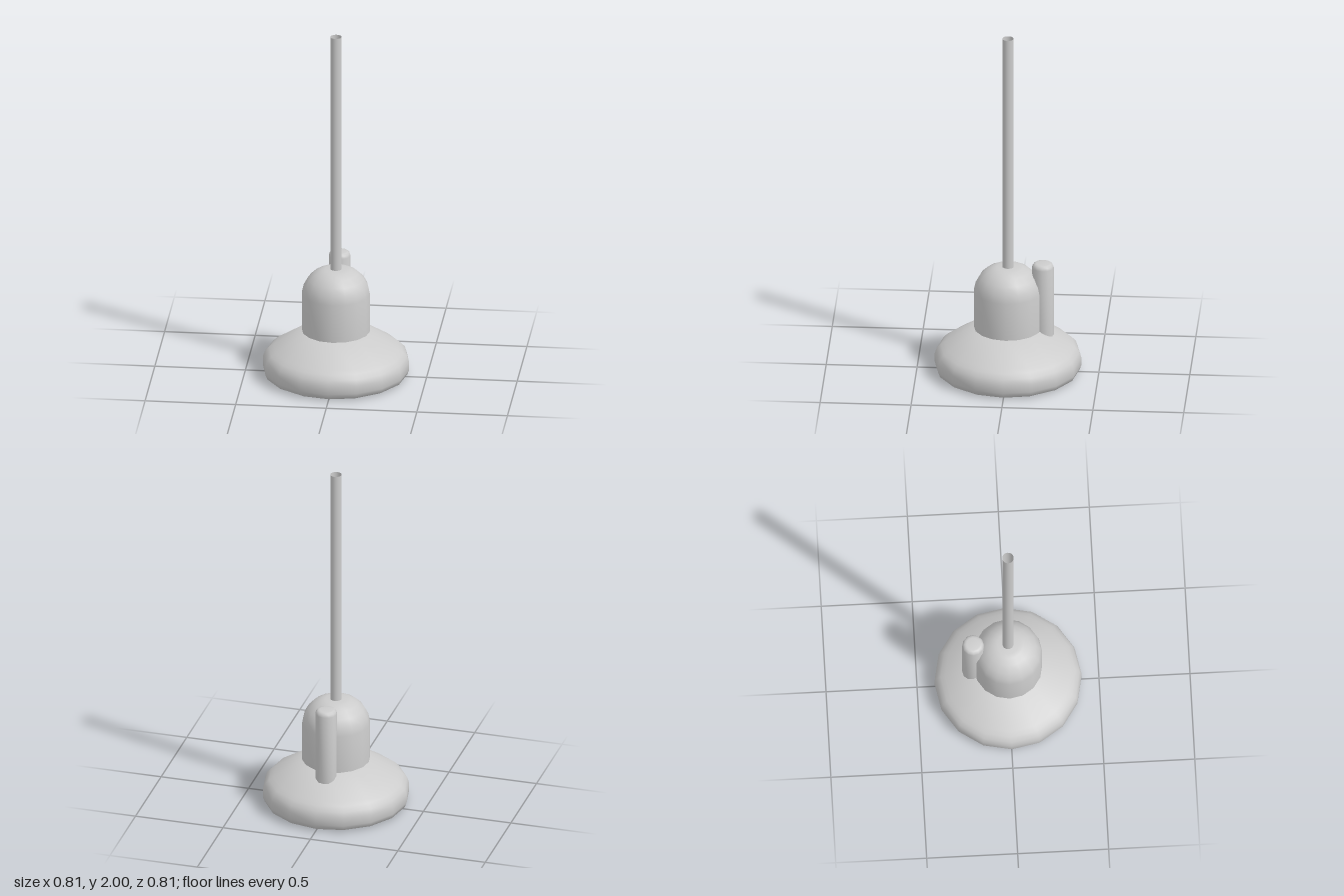
import * as THREE from 'three';
import { toCreasedNormals } from 'three/addons/utils/BufferGeometryUtils.js';

const grey = new THREE.MeshStandardMaterial({ color: 0xcccccc });
const greyOpen = new THREE.MeshStandardMaterial({ color: 0xcccccc, side: THREE.DoubleSide });

// Revolves [radius, height] pairs, listed bottom to top on the outside
function turned(name, profile, sides) {
  const points = profile.map(([r, y]) => new THREE.Vector2(r, y));
  const geometry = toCreasedNormals(new THREE.LatheGeometry(points, sides), 0.85);
  const mesh = new THREE.Mesh(geometry, grey);
  mesh.name = name;
  return mesh;
}

export function createModel() {
  const model = new THREE.Group();
  model.name = 'plunger';

  // Flared foot: a ring with a hollowed underside rising to a round opening
  const foot = turned('foot', [
    [0.17, 0.06], [0.35, 0.006], [0.37, 0], [0.393, 0.012], [0.404, 0.04], [0.404, 0.085],
    [0.393, 0.118], [0.37, 0.142], [0.345, 0.159], [0.19, 0.26], [0.17, 0.26], [0.17, 0.06],
  ], 16);

  // Domed body, its flat underside closing the opening
  const body = turned('domedBody', [
    [0, 0.225], [0.188, 0.225], [0.188, 0.48], [0.178, 0.525], [0.155, 0.567],
    [0.12, 0.6], [0.085, 0.618], [0.06, 0.623], [0, 0.623],
  ], 16);

  // Upright rod at the back, with a softened top edge
  const rod = turned('backRod', [
    [0, 0.19], [0.06, 0.19], [0.06, 0.625], [0.056, 0.639], [0.046, 0.648], [0.036, 0.65], [0, 0.65],
  ], 12);
  rod.position.z = -0.192;

  // Long thin hollow pole
  const pole = new THREE.Mesh(new THREE.CylinderGeometry(0.031, 0.031, 1.38, 24, 1, true), greyOpen);
  pole.name = 'pole';
  pole.position.y = 1.31;

  model.add(foot, body, rod, pole);
  return model;
}
